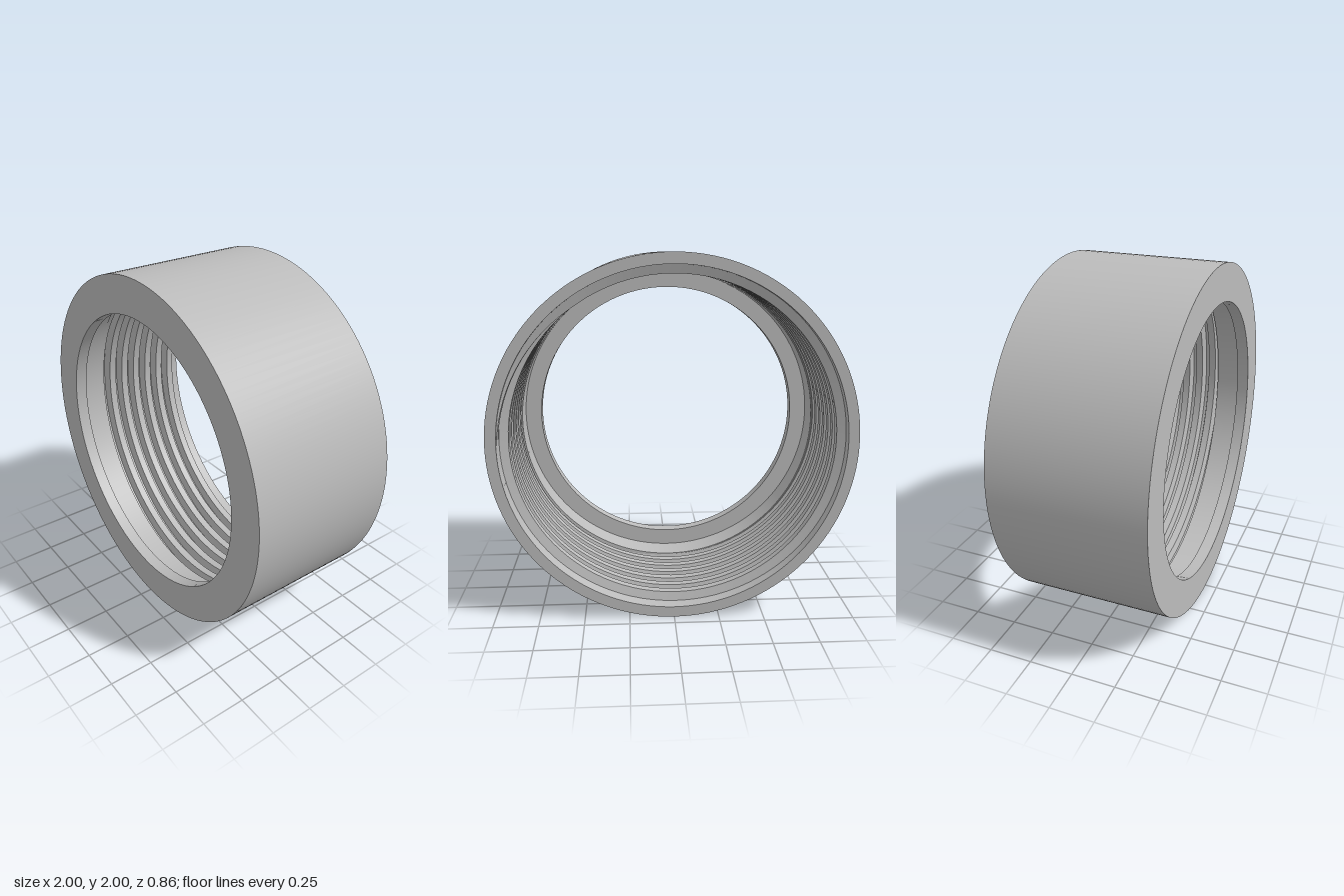
import * as THREE from 'three';
import { toCreasedNormals } from 'three/addons/utils/BufferGeometryUtils.js';

const ROOT = 0.94, CREST = 0.892, PITCH = 0.09;

// One smooth strip of the helical thread between two profile corners [z offset, radius]
function threadStrip(p, q, zStart, turns) {
  const perTurn = 96, n = Math.round(turns * perTurn);
  const pos = [], index = [];
  for (let i = 0; i <= n; i++) {
    const t = i / perTurn, a = t * Math.PI * 2;
    const rise = Math.min(1, t / 0.15); // thread fades in at its open end
    for (const [dz, r] of [p, q]) {
      const radius = ROOT + (r - ROOT) * rise;
      pos.push(radius * Math.cos(a), radius * Math.sin(a), zStart + t * PITCH + dz);
    }
    if (i < n) {
      const k = i * 2;
      index.push(k, k + 1, k + 2, k + 1, k + 3, k + 2);
    }
  }
  const g = new THREE.BufferGeometry();
  g.setAttribute('position', new THREE.Float32BufferAttribute(pos, 3));
  g.setIndex(index);
  g.computeVertexNormals();
  return g;
}

export function createModel() {
  const group = new THREE.Group();
  group.name = 'threadedCollar';
  const metal = new THREE.MeshStandardMaterial({ color: 0xbcbcbc });
  metal.name = 'plain grey metal';

  // Collar: outer wall, front lip, relief bore and threaded bore as one closed profile
  const profile = [
    [1, -0.43], [1, 0.43], [0.79, 0.43], [0.79, 0.36],
    [0.887, 0.36], [0.887, 0.2], [ROOT, 0.2], [ROOT, -0.43], [1, -0.43],
  ].map(([r, z]) => new THREE.Vector2(r, z));
  const body = new THREE.LatheGeometry(profile, 128);
  body.rotateX(Math.PI / 2);
  const collar = new THREE.Mesh(toCreasedNormals(body, 0.5), metal);
  collar.name = 'collarBody';

  // Internal screw thread: two flanks and a flat crest
  const thread = new THREE.Group();
  thread.name = 'internalThread';
  const ridge = [[-0.036, ROOT], [-0.022, CREST], [0.022, CREST], [0.036, ROOT]];
  ['rearFlank', 'crest', 'frontFlank'].forEach((name, i) => {
    const strip = new THREE.Mesh(threadStrip(ridge[i], ridge[i + 1], -0.385, 6.95), metal);
    strip.name = name;
    thread.add(strip);
  });

  group.add(collar, thread);
  group.children.forEach((part) => { part.position.y = 1; });
  return group;
}
